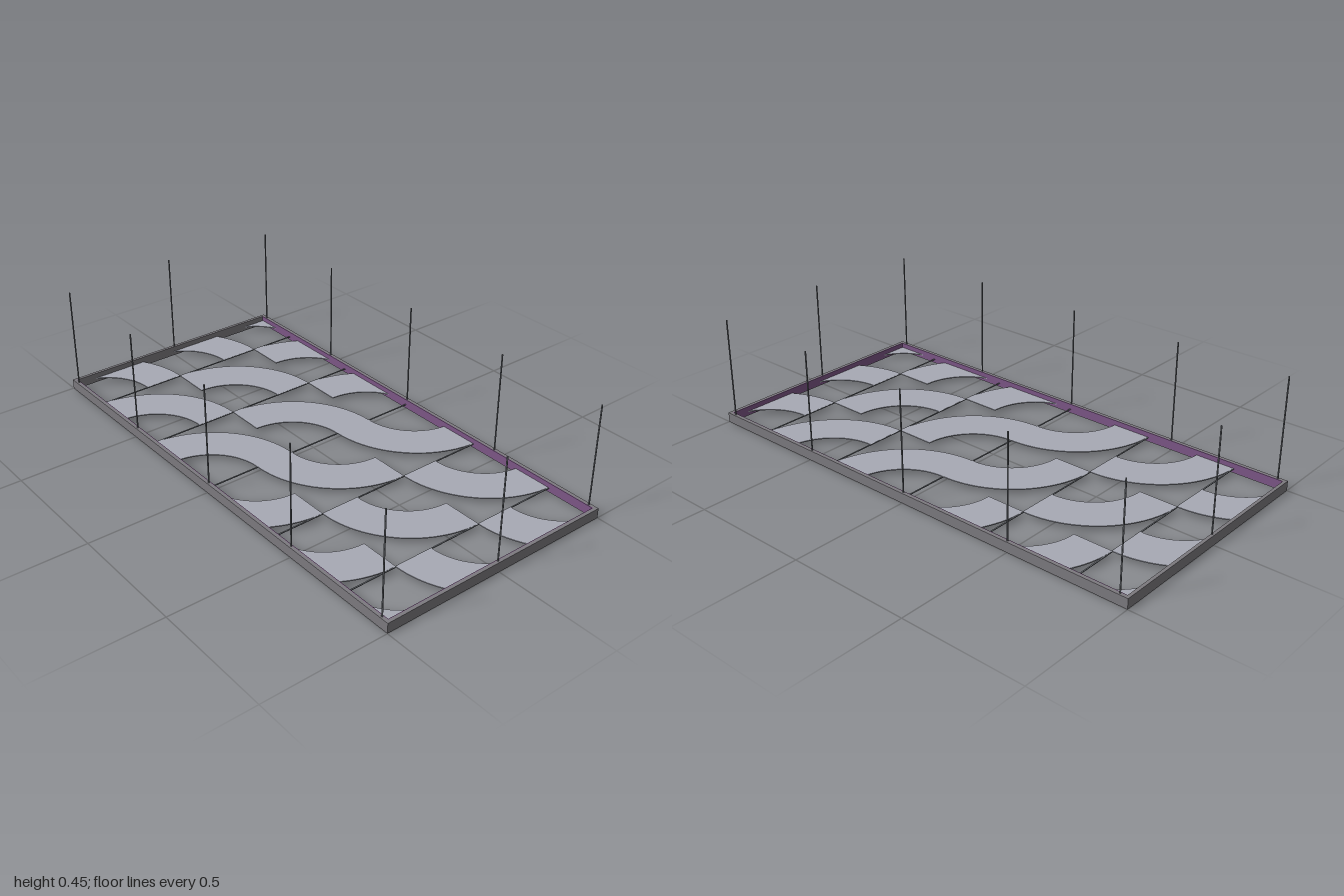
import * as THREE from 'three';

const mat = (name, color) => {
  const m = new THREE.MeshStandardMaterial({ color });
  m.name = name;
  return m;
};

// Keep the part of a polygon where sign * p[axis] <= limit
function clip(points, axis, sign, limit) {
  const out = [];
  points.forEach((p, i) => {
    const q = points[(i + 1) % points.length];
    const a = limit - sign * p[axis], b = limit - sign * q[axis];
    if (a >= 0) out.push(p);
    if (a * b < 0) out.push(p.clone().lerp(q, a / (a - b)));
  });
  return out;
}

export function createModel() {
  const model = new THREE.Group();
  const frameGrey = mat('frame grey', 0x7c7a7f);
  const panelGrey = mat('panel grey', 0xa8aab5);
  const linerPurple = mat('liner purple', 0x7c5686);
  const metal = mat('metal grey', 0x6c7076);

  const add = (name, geometry, material, x, y, z) => {
    const mesh = new THREE.Mesh(geometry, material);
    mesh.name = name;
    mesh.position.set(x, y, z);
    model.add(mesh);
  };

  const H = 0.041, T = 0.013; // frame height and wall thickness
  const innerX = 1 - T, innerZ = 0.5 - T;

  // Rectangular frame with a thin coloured lining on three sides
  const linerH = H - 0.004, linerY = H - linerH / 2, L = 0.003;
  for (const s of [-1, 1]) {
    add('longRail', new THREE.BoxGeometry(2, H, T), frameGrey, 0, H / 2, s * (0.5 - T / 2));
    add('endRail', new THREE.BoxGeometry(T, H, 2 * innerZ), frameGrey, s * (1 - T / 2), H / 2, 0);
    add('longLiner', new THREE.BoxGeometry(2 * innerX, linerH, L), linerPurple,
      0, linerY, s * (innerZ - L / 2));
  }
  add('endLiner', new THREE.BoxGeometry(L, linerH, 2 * (innerZ - L)), linerPurple,
    innerX - L / 2, linerY, 0);

  // Thin cross bars between the tile columns
  const TILE = 0.39;
  for (let i = -2; i <= 2; i++) {
    add('crossBar', new THREE.BoxGeometry(0.005, 0.003, 2 * (innerZ - L)), metal, i * TILE, 0.0185, 0);
  }

  // Quarter-ring panels, trimmed to the inside of the frame
  const R = 0.39, r = 0.227, STEPS = 24, THICK = 0.004;
  function panel(cx, cz, start) {
    let pts = [];
    const arc = (radius, k) => {
      const a = start + (k / STEPS) * Math.PI / 2;
      pts.push(new THREE.Vector2(cx + radius * Math.cos(a), -cz + radius * Math.sin(a)));
    };
    for (let k = 0; k <= STEPS; k++) arc(R, k);
    for (let k = STEPS; k >= 0; k--) arc(r, k);
    for (const s of [-1, 1]) {
      pts = clip(pts, 'x', s, innerX - L);
      pts = clip(pts, 'y', s, innerZ - L);
    }
    const geo = new THREE.ExtrudeGeometry(new THREE.Shape(pts), { depth: THICK, bevelEnabled: false });
    geo.rotateX(-Math.PI / 2);
    add('curvedPanel', geo, panelGrey, 0, 0.0165, 0);
  }
  for (let col = 0; col < 3; col++) {
    for (let row = 0; row < 3; row++) {
      panel(-col * TILE, -0.283 + row * TILE, Math.PI / 2);
      panel(col * TILE, -0.511 + row * TILE, -Math.PI / 2);
    }
  }

  // Suspension rods
  const TOP = 0.454;
  const rodGeo = new THREE.CylinderGeometry(0.003, 0.003, TOP - H, 10);
  const rod = (x, z) => add('suspensionRod', rodGeo, metal, x, (TOP + H) / 2, z);
  for (const s of [-1, 1]) {
    for (const x of [-0.963, -0.495, 0, 0.495, 0.963]) rod(x, s * 0.491);
    rod(s * 0.99, 0);
  }
  return model;
}
